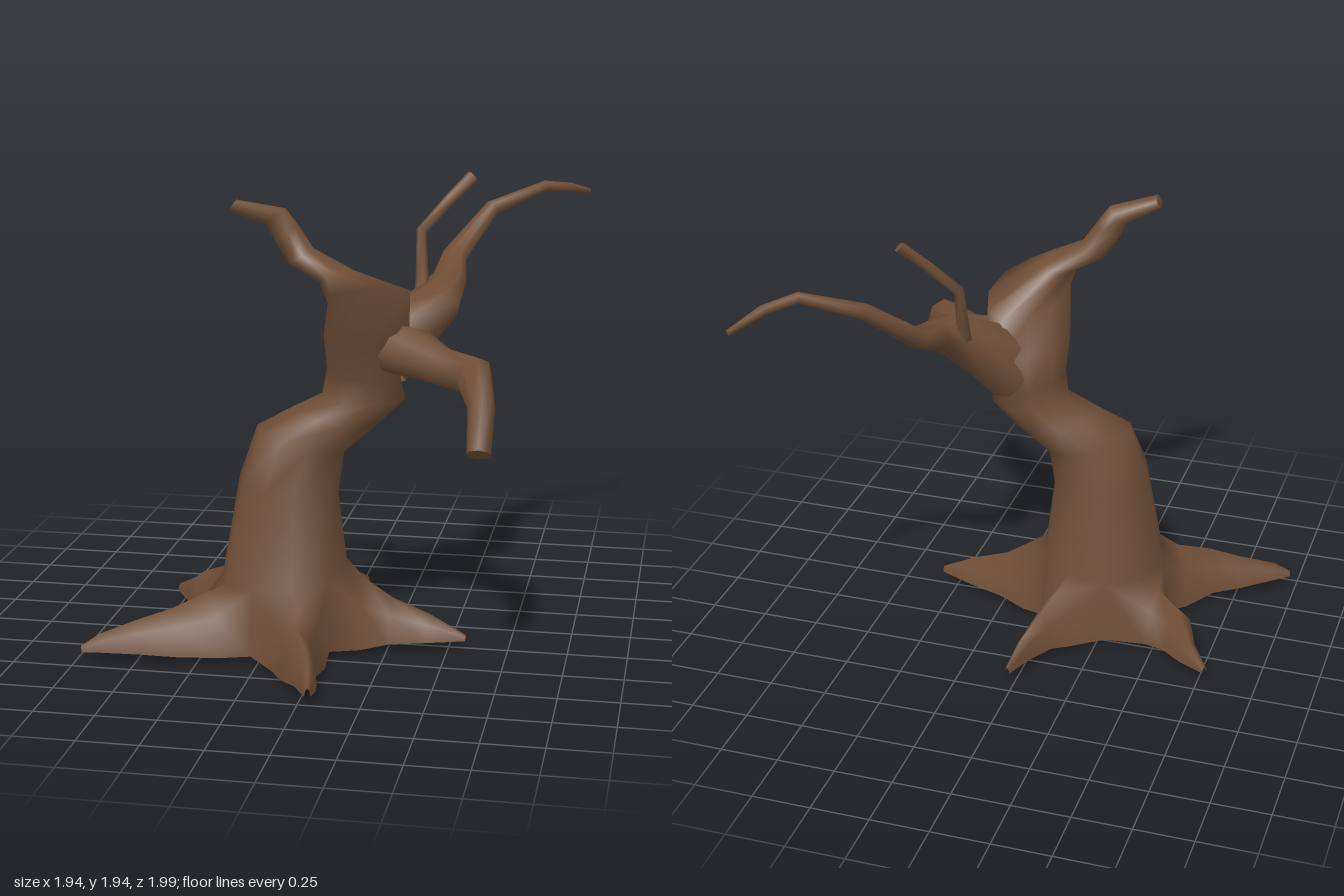
import * as THREE from 'three';
import { mergeGeometries, mergeVertices } from 'three/addons/utils/BufferGeometryUtils.js';

const bark = new THREE.MeshStandardMaterial({ color: 0x6f4e37, side: THREE.DoubleSide });
bark.name = 'bark brown';

const V = (x, y, z) => new THREE.Vector3(x, y, z);
const Y = V(0, 1, 0);
const Z = V(0, 0, 1);

// Skins rows of points; closed rows are tubes and get a crisp end cap.
function skin(rows, closed) {
  const n = rows[0].length;
  const pos = rows.flat().flatMap(p => [p.x, p.y, p.z]);
  const idx = [];
  for (let i = 0; i < rows.length - 1; i++) {
    for (let j = 0; j < (closed ? n : n - 1); j++) {
      const a = i * n + j, b = i * n + (j + 1) % n;
      idx.push(a, b, b + n, a, b + n, a + n);
    }
  }
  if (closed) {
    const base = pos.length / 3;
    rows.at(-1).forEach(p => pos.push(p.x, p.y, p.z));
    for (let j = 1; j < n - 1; j++) idx.push(base, base + j, base + j + 1);
  }
  const g = new THREE.BufferGeometry();
  g.setAttribute('position', new THREE.Float32BufferAttribute(pos, 3));
  g.setIndex(idx);
  return g;
}

function ellipse(c, u, v, sides) {
  return Array.from({ length: sides }, (_, j) => {
    const a = (j / sides) * Math.PI * 2;
    return c.clone().addScaledVector(u, Math.cos(a)).addScaledVector(v, Math.sin(a));
  });
}

function part(name, geometry) {
  geometry.computeVertexNormals();
  const mesh = new THREE.Mesh(geometry, bark);
  mesh.name = name;
  return mesh;
}

// Branch swept along rings of [x, y, z, radiusU, radiusV].
function branch(name, rings, ref, sides = 8) {
  const c = rings.map(r => V(r[0], r[1], r[2]));
  const rows = rings.map((r, i) => {
    const t = c[Math.min(i + 1, c.length - 1)].clone().sub(c[Math.max(i - 1, 0)]).normalize();
    const u = t.clone().cross(ref).normalize();
    const v = t.clone().cross(u);
    return ellipse(c[i], u.multiplyScalar(r[3]), v.multiplyScalar(r[4] ?? r[3]), sides);
  });
  return part(name, skin(rows, true));
}

// Trunk ring from its two side edges, its depth range, its forward rise,
// and the skew that turns the right-hand edge backwards.
function trunkRing([xl, yl, xr, yr, zb, zf, rise = 0, skew = 0]) {
  const c = V((xl + xr) / 2, (yl + yr) / 2, (zb + zf) / 2);
  return ellipse(c, V((xr - xl) / 2, (yr - yl) / 2, -skew), V(0, -rise, (zb - zf) / 2), 10);
}

// Hollow root: arches of [x, z, half width, foot height, top height],
// starting on the trunk's lowest ring at corner j.
function root(ring, j, stations) {
  const at = k => ring[(k + 10) % 10];
  const foot = k => {
    const p = at(k);
    return V(-0.2 + (p.x + 0.2) * 1.03, 0.02, 0.27 + (p.z - 0.27) * 1.04);
  };
  const rows = [[foot(j + 1), at(j + 1), at(j), at(j - 1), foot(j - 1)]];
  const c = [at(j), ...stations.map(s => V(s[0], 0, s[1]))];
  stations.forEach(([x, z, w, lo, hi], i) => {
    const t = c[Math.min(i + 2, c.length - 1)].clone().sub(c[i]).setY(0).normalize();
    const s = t.cross(Y);
    const point = (k, h) => V(x, lo + (hi - lo) * h, z).addScaledVector(s, k * w);
    rows.push([point(-1, 0), point(-0.72, 0.65), point(0, 1), point(0.72, 0.65), point(1, 0)]);
  });
  return skin(rows, false);
}

export function createModel() {
  const tree = new THREE.Group();
  tree.name = 'bareTree';

  // Bent trunk running on into the forward leaning branch
  const trunk = [
    [-0.47, 0.28, 0.07, 0.34, -0.03, 0.57],
    [-0.39, 0.72, 0.03, 0.66, 0.04, 0.5],
    [-0.32, 0.93, 0.05, 0.83, 0.05, 0.43],
    [-0.17, 1.01, 0.19, 0.95, 0.04, 0.38],
    [-0.05, 1.07, 0.3, 1.06, 0.04, 0.36],
    [-0.03, 1.18, 0.28, 1.15, 0.03, 0.38],
    [-0.03, 1.33, 0.31, 1.3, 0, 0.45, 0.01, 0.05],
    [0.02, 1.5, 0.32, 1.52, 0.13, 0.54, 0.07, 0.11],
    [-0.01, 1.59, 0.12, 1.63, 0.33, 0.55, 0.02, 0.03],
    [-0.14, 1.65, -0.04, 1.72, 0.37, 0.5],
    [-0.2, 1.75, -0.1, 1.81, 0.39, 0.48],
    [-0.23, 1.81, -0.15, 1.88, 0.41, 0.5],
    [-0.36, 1.87, -0.33, 1.92, 0.49, 0.57],
  ].map(trunkRing);

  // Five spreading roots: left, back, right back, right front, front
  const roots = [
    [[0.14, 0.26, 0.15, 0.02, 0.29], [0.26, 0.26, 0.09, 0.03, 0.21],
      [0.42, 0.27, 0.06, 0.04, 0.15], [0.575, 0.28, 0.012, 0.045, 0.07]],
    [[-0.07, -0.07, 0.1, 0.02, 0.24], [-0.03, -0.16, 0.06, 0.03, 0.19],
      [0.01, -0.28, 0.035, 0.03, 0.135], [0.035, -0.43, 0.012, 0.04, 0.065]],
    [[-0.5, 0.09, 0.1, 0.02, 0.25], [-0.61, 0.03, 0.08, 0.02, 0.2],
      [-0.68, -0.08, 0.045, 0.03, 0.13], [-0.775, -0.165, 0.012, 0.035, 0.065]],
    [[-0.49, 0.48, 0.15, 0.02, 0.26], [-0.62, 0.57, 0.095, 0.03, 0.21],
      [-0.75, 0.61, 0.06, 0.035, 0.17], [-0.9, 0.68, 0.035, 0.05, 0.12],
      [-0.97, 0.71, 0.012, 0.05, 0.075]],
    [[-0.07, 0.63, 0.11, 0, 0.265], [-0.045, 0.78, 0.07, 0.02, 0.24],
      [0.01, 0.87, 0.045, 0.03, 0.18], [0.03, 0.94, 0.03, 0.03, 0.12],
      [0.04, 0.995, 0.012, 0.035, 0.07]],
  ].map((stations, i) => root(trunk[0], i * 2, stations));
  tree.add(part('trunkAndRoots', mergeVertices(mergeGeometries([skin(trunk, true), ...roots]))));

  // Long branch reaching backwards
  tree.add(branch('backBranch', [
    [0.18, 1.2, 0.15, 0.14],
    [0.27, 1.32, 0.07, 0.15, 0.13],
    [0.4, 1.43, -0.05, 0.11, 0.09],
    [0.42, 1.485, -0.2, 0.078, 0.06],
    [0.42, 1.56, -0.39, 0.06, 0.042],
    [0.56, 1.745, -0.59, 0.035],
    [0.78, 1.83, -0.72, 0.024],
    [0.88, 1.81, -0.83, 0.022],
    [0.955, 1.775, -0.99, 0.012],
  ], Y));

  // Thin upright twig
  tree.add(branch('twig', [
    [0.33, 1.43, -0.08, 0.04],
    [0.32, 1.52, -0.11, 0.028],
    [0.305, 1.7, -0.19, 0.023],
    [0.41, 1.82, -0.26, 0.025],
    [0.505, 1.92, -0.325, 0.028, 0.018],
  ], Z, 6));

  // Drooping branch at the front
  tree.add(branch('frontBranch', [
    [0.24, 1.28, 0.23, 0.15, 0.1],
    [0.33, 1.275, 0.28, 0.14, 0.105],
    [0.46, 1.245, 0.37, 0.09, 0.08],
    [0.62, 1.235, 0.5, 0.08, 0.085],
    [0.67, 1.15, 0.67, 0.055, 0.07],
    [0.675, 0.99, 0.775, 0.048, 0.055],
  ], Y));

  return tree;
}
